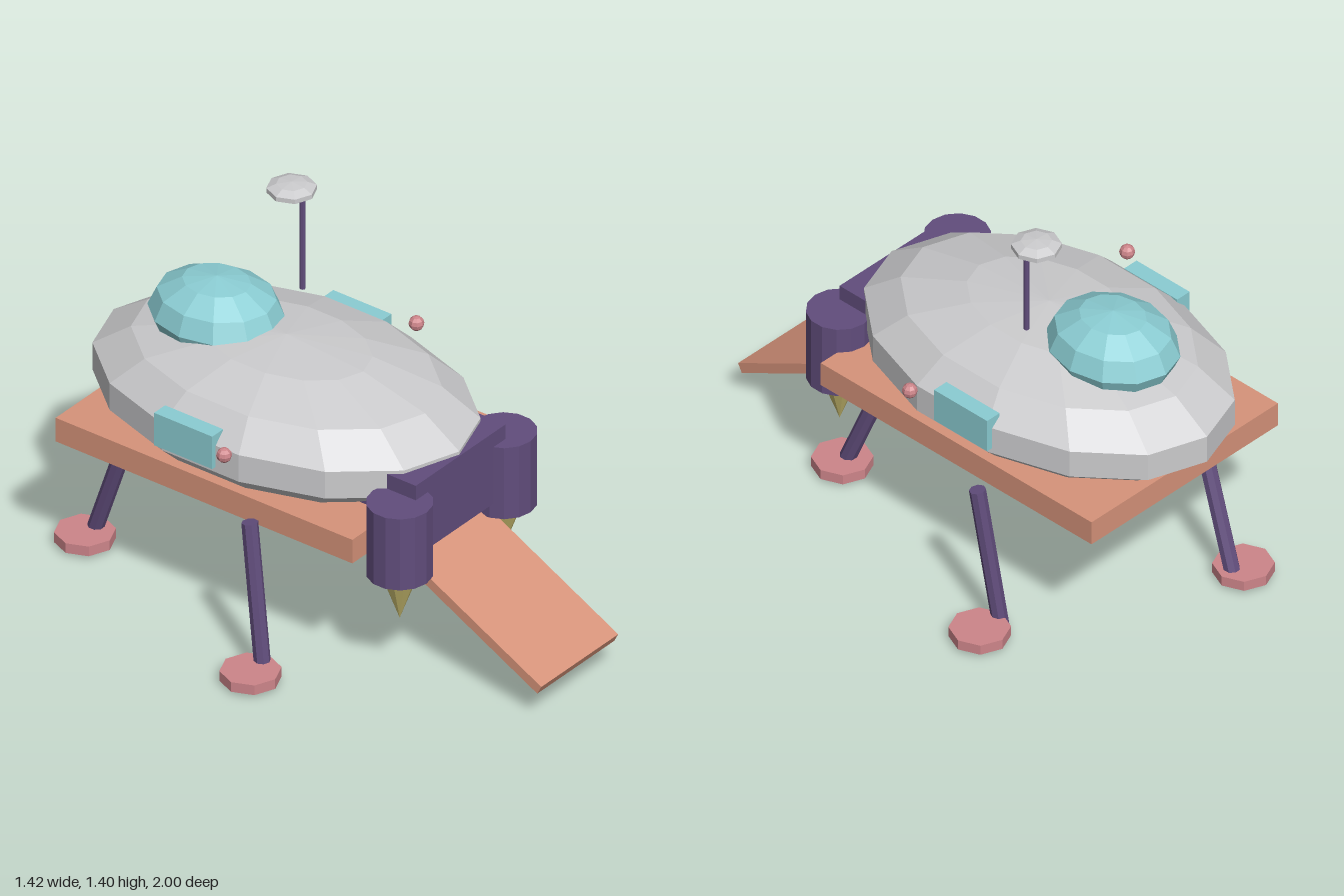
import * as THREE from 'three';

const mat = (name, color) => {
  const m = new THREE.MeshStandardMaterial({ color });
  m.name = name;
  m.flatShading = true;
  return m;
};

export function createModel() {
  const group = new THREE.Group();
  const grey = mat('hull grey', 0xcbcbcd);
  const teal = mat('glass teal', 0x8bcdd3);
  const purple = mat('metal purple', 0x614d7c);
  const orange = mat('deck orange', 0xd6937a);
  const pink = mat('foot pink', 0xcd858a);
  const yellow = mat('nozzle yellow', 0xc4b76c);

  const add = (name, geometry, material, x, y, z) => {
    const mesh = new THREE.Mesh(geometry, material);
    mesh.name = name;
    mesh.position.set(x, y, z);
    group.add(mesh);
    return mesh;
  };
  const ellipsoid = (rx, ry, rz, w, h) => new THREE.SphereGeometry(1, w, h).rotateY(Math.PI / 2).scale(rx, ry, rz);
  const box = (w, h, d) => new THREE.BoxGeometry(w, h, d);

  // Straight rod between two points
  const rod = (name, a, b, radius) => {
    const from = new THREE.Vector3(...a), to = new THREE.Vector3(...b);
    const dir = to.clone().sub(from);
    const mid = from.clone().add(to).multiplyScalar(0.5);
    const mesh = add(name, new THREE.CylinderGeometry(radius, radius, dir.length(), 8), purple, mid.x, mid.y, mid.z);
    mesh.quaternion.setFromUnitVectors(new THREE.Vector3(0, 1, 0), dir.normalize());
  };

  // Hull, cockpit dome and deck
  add('hull', ellipsoid(0.495, 0.236, 0.75, 14, 7), grey, 0, 0.717, -0.24);
  add('dome', ellipsoid(0.208, 0.14, 0.246, 12, 6), teal, 0, 0.93, -0.535);
  add('deck', box(0.9, 0.093, 1.255), orange, 0, 0.557, -0.24);

  // Antenna
  rod('antennaPole', [0.204, 0.997, -0.33], [0.204, 1.392, -0.33], 0.01);
  add('antennaDish', ellipsoid(0.09, 0.028, 0.09, 8, 5), grey, 0.204, 1.373, -0.376);

  // Engine block and boarding ramp
  add('engineBlock', box(0.49, 0.28, 0.31), purple, 0, 0.617, 0.342);
  add('ramp', box(0.42, 0.037, 0.69), orange, 0, 0.284, 0.687).rotation.x = 0.485;

  // Side windows, lamps and thrusters
  for (const s of [1, -1]) {
    add('sideWindow', box(0.06, 0.128, 0.246), teal, s * 0.459, 0.75, -0.298);
    add('sideLamp', new THREE.SphereGeometry(0.027, 8, 6), pink, s * 0.525, 0.79, -0.097);
    add('thruster', new THREE.CylinderGeometry(0.114, 0.114, 0.28, 14), purple, s * 0.284, 0.56, 0.459);
    add('nozzle', new THREE.ConeGeometry(0.067, 0.18, 10).rotateX(Math.PI), yellow, s * 0.284, 0.332, 0.459);
  }

  // Landing legs: top, bottom, foot centre
  const legs = [
    [[0.2, 0.55, 0.27], [0.24, 0.012, 0.48], [0.255, 0.475]],
    [[0.54, 0.555, -0.425], [0.51, 0.008, -0.505], [0.607, -0.5]],
    [[-0.24, 0.55, -0.7], [-0.205, 0.012, -0.9], [-0.255, -0.895]],
    [[-0.51, 0.555, 0.0], [-0.54, 0.008, 0.08], [-0.607, 0.078]],
  ];
  for (const [top, bottom, foot] of legs) {
    rod('leg', top, bottom, 0.029);
    add('foot', new THREE.CylinderGeometry(0.105, 0.105, 0.038, 8), pink, foot[0], 0.034, foot[1]);
  }
  return group;
}
